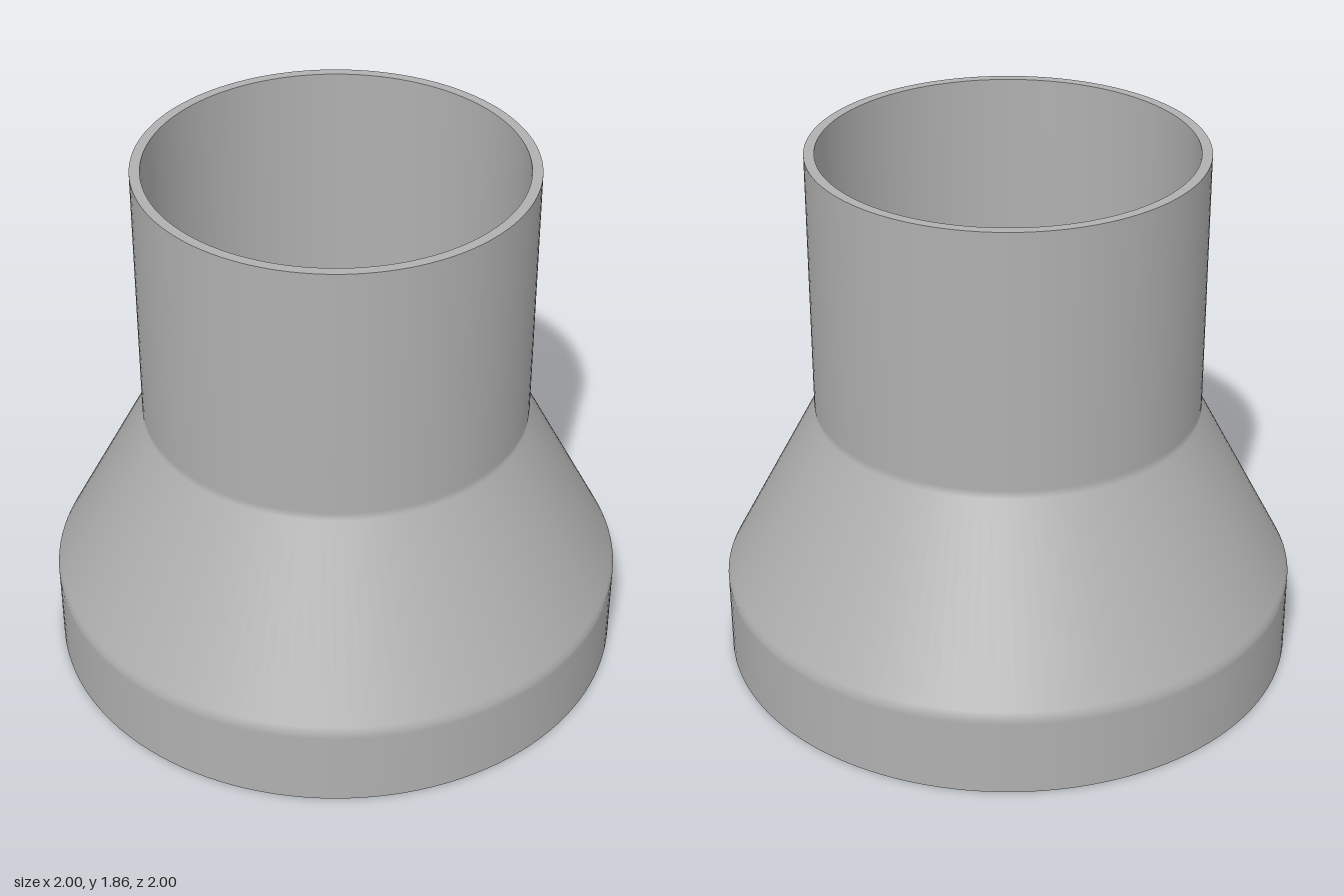
import * as THREE from 'three';

export function createModel() {
  const group = new THREE.Group();
  group.name = 'pipeReducer';

  const grey = new THREE.MeshStandardMaterial({ color: 0xb0b0b0 });
  grey.name = 'plainGrey';

  // Each strip is smooth within itself and meets its neighbours at a sharp edge.
  // Profiles run up the outside, in over the rim, down the inside and out below.
  const strip = (name, points) => {
    const profile = points.map(([r, y]) => new THREE.Vector2(r, y));
    const mesh = new THREE.Mesh(new THREE.LatheGeometry(profile, 128), grey);
    mesh.name = name;
    group.add(mesh);
  };

  // Outer skin: base collar, sloping shoulder and straight neck
  strip('outerBody', [
    [1, 0], [1, 0.27], [1, 0.29], [0.99, 0.31],
    [0.67, 0.92], [0.67, 0.95], [0.67, 1.86],
  ]);

  // Upper socket
  strip('topRim', [[0.67, 1.86], [0.635, 1.86]]);
  strip('upperSocket', [[0.635, 1.86], [0.635, 0.95]]);
  strip('upperLedge', [[0.635, 0.95], [0.595, 0.95]]);

  // Tapered passage between the two sockets
  strip('innerTaper', [
    [0.595, 0.95], [0.595, 0.92], [0.61, 0.89], [0.92, 0.29], [0.92, 0.26],
  ]);

  // Lower socket
  strip('lowerLedge', [[0.92, 0.26], [0.965, 0.26]]);
  strip('lowerSocket', [[0.965, 0.26], [0.965, 0]]);
  strip('bottomRim', [[0.965, 0], [1, 0]]);

  return group;
}
